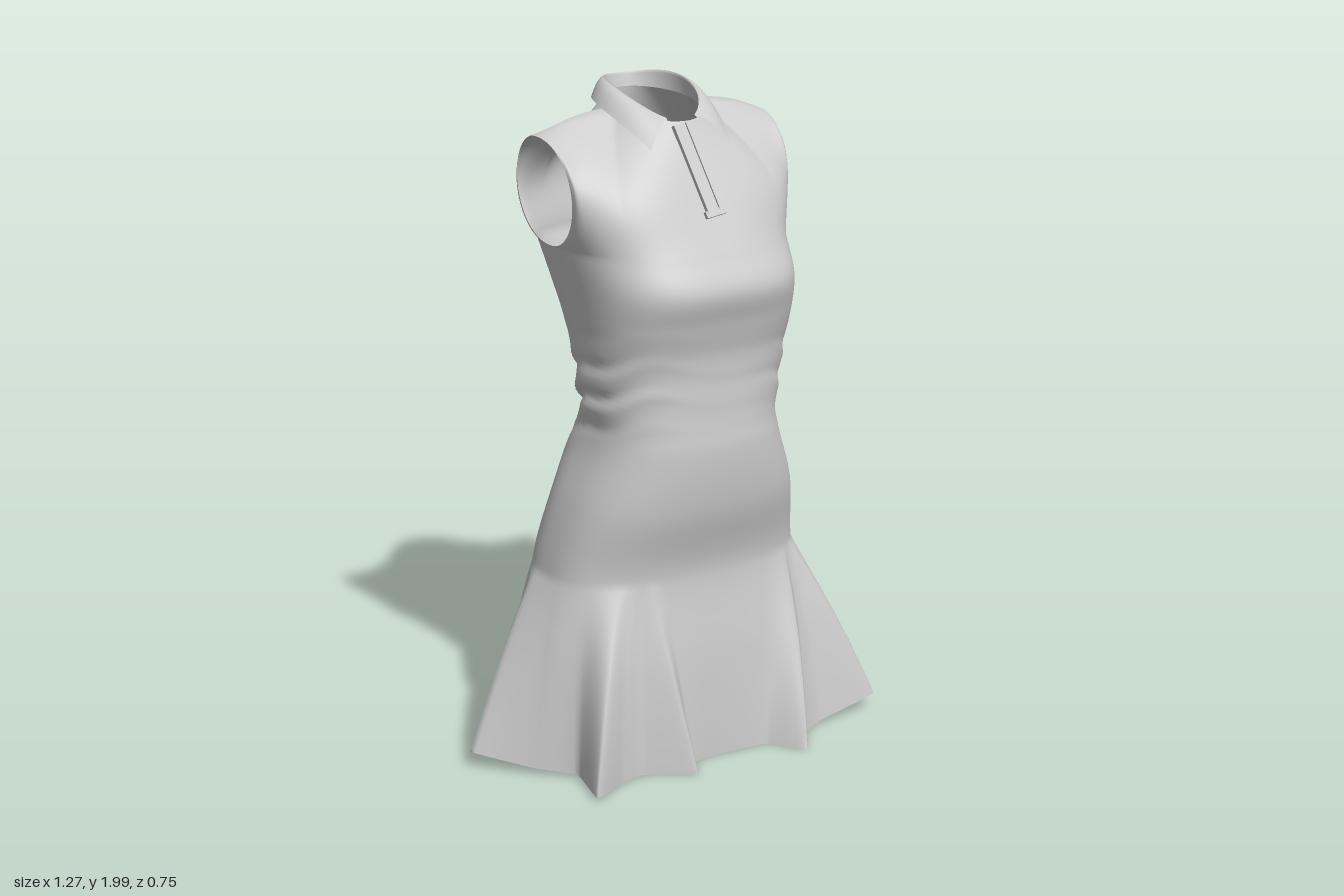
import * as THREE from 'three';
import { mergeGeometries, mergeVertices } from 'three/addons/utils/BufferGeometryUtils.js';

const COLS = 192, UNDERARM = 1.55, CX = 0.022;
const material = new THREE.MeshStandardMaterial({ color: 0xcccccc, side: THREE.DoubleSide });
const { lerp, smoothstep, degToRad } = THREE.MathUtils;
// Rounds a sine or cosine into a squarer section; the chest is squarer than the skirt
const round = (v, y) => Math.sign(v) * Math.pow(Math.abs(v), lerp(0.8, 0.66, smoothstep(y, 1.1, 1.4)));

// Body sections: y, right x, left x, front z, back z, z of the side seam
const sections = [
  [0.00, -0.44, 0.48, 0.245, -0.28, -0.02],
  [0.30, -0.425, 0.465, 0.225, -0.285, -0.03],
  [0.60, -0.39, 0.435, 0.21, -0.295, -0.03],
  [0.80, -0.345, 0.395, 0.26, -0.25, 0.00],
  [0.98, -0.285, 0.325, 0.275, -0.215, 0.03],
  [1.03, -0.275, 0.312, 0.27, -0.175, 0.04],
  [1.10, -0.278, 0.322, 0.265, -0.158, 0.04],
  [1.25, -0.285, 0.345, 0.265, -0.19, 0.02],
  [1.35, -0.295, 0.357, 0.287, -0.215, 0.00],
  [1.45, -0.308, 0.362, 0.31, -0.25, -0.05],
  [1.55, -0.323, 0.367, 0.265, -0.285, -0.10],
];
const profile = new THREE.CubicInterpolant(
  sections.map(s => s[0]), sections.flatMap(s => s.slice(1)), 5, new Float32Array(5));

// Cross-section with slanting creases gathered round the back of the waist
function ringPoint(y, th) {
  const [xl, xr, zf, zb, cz] = profile.evaluate(y);
  const sn = Math.sin(th), cs = Math.cos(th);
  const band = Math.exp(-Math.pow((y - 1.14 - 0.04 * cs) / 0.1, 2));
  const phase = 66 * (y - 0.07 * cs) + 1.2 * Math.sin(th * 2 + 0.5) + 0.9 * Math.cos(th * 5);
  const gather = 0.05 * (0.53 - 0.47 * cs) * band * (Math.sin(phase) + 0.3 * Math.sin(2 * phase + 3 * th));
  const k = 1 + gather;
  return new THREE.Vector3(
    (xl + xr) / 2 + round(sn, y) * (xr - xl) / 2 * k, y,
    cz + round(cs, y) * (cs > 0 ? zf - cz : cz - zb) * k);
}

// Hem outline from the centre front round by the left: x, z and the angle (degrees)
// each fold starts from; the folds of a pleat start close together
const hem = [
  [0.02, 0.25, 0], [0.19, 0.27, 25], [0.27, 0.37, 44], [0.33, 0.28, 47], [0.42, 0.24, 50],
  [0.63, 0.235, 55], [0.63, 0.10, 75], [0.53, -0.09, 98], [0.50, -0.14, 107], [0.60, -0.2, 118],
  [0.58, -0.3, 126], [0.45, -0.23, 132], [0.26, -0.28, 150], [0.22, -0.34, 156],
  [0.13, -0.33, 160], [0.11, -0.28, 164], [-0.1, -0.28, 190], [-0.18, -0.29, 205],
  [-0.22, -0.38, 212], [-0.27, -0.31, 216], [-0.29, -0.22, 220], [-0.38, -0.22, 226],
  [-0.47, -0.21, 236], [-0.48, -0.12, 248], [-0.635, -0.08, 262], [-0.50, 0.07, 282],
  [-0.41, 0.16, 302], [-0.45, 0.33, 322], [-0.33, 0.27, 329], [-0.24, 0.25, 333],
  [-0.1, 0.33, 337], [-0.07, 0.26, 344],
];
const hemCurve = new THREE.CatmullRomCurve3(
  hem.map(([x, z]) => new THREE.Vector3(x, 0.01 + 0.05 * Math.pow(x / 0.63, 4), z)),
  true, 'catmullrom', 0.2);
function foldAngle(s) {
  const i = Math.floor(s * hem.length);
  const next = i + 1 < hem.length ? hem[i + 1][2] : 360;
  return degToRad(lerp(hem[i][2], next, s * hem.length - i));
}

// Grid of points; columns run anticlockwise seen from above, rows run upwards
function grid(rows, cols, closed, point) {
  const pos = [], idx = [], w = closed ? cols : cols + 1;
  for (let i = 0; i <= rows; i++)
    for (let j = 0; j < w; j++) pos.push(...point(j / cols, i / rows).toArray());
  for (let i = 0; i < rows; i++)
    for (let j = 0; j < cols; j++) {
      const a = i * w + j, b = i * w + (j + 1) % w;
      idx.push(a, b, a + w, b, b + w, a + w);
    }
  const g = new THREE.BufferGeometry();
  g.setAttribute('position', new THREE.Float32BufferAttribute(pos, 3));
  g.setIndex(idx);
  return g;
}

// Skirt and bodice up to the underarm; the pleats open in straight lines to the hem
function bodyPoint(s, t) {
  const y = t * UNDERARM, top = 0.58;
  const th = lerp(foldAngle(s), s * 2 * Math.PI, smoothstep(y, 0.6, 1.35));
  const p = ringPoint(y, th);
  if (y < top) {
    const end = hemCurve.getPoint(s), w = (top - y) / top;
    p.set(lerp(p.x, end.x, w), y + end.y * w, lerp(p.z, end.z, w));
  }
  return p;
}

// Neckline: phi 0 = centre front
function neckPoint(phi) {
  const c = Math.cos(phi);
  return new THREE.Vector3(CX + 0.13 * Math.sin(phi), 1.93 + (c > 0 ? -0.03 : -0.02) * c, -0.09 + 0.165 * c);
}

// Upper front or back panel: underarm to neckline and shoulder seam, edged by the armholes
function panelPoint(front, s, v) {
  const th = (front ? -Math.PI / 2 : Math.PI / 2) + s * Math.PI;
  const side = (front ? s >= 0.5 : s < 0.5) ? 1 : -1;
  const u = Math.abs(2 * s - 1), d = front ? 1 : -1;
  const a = Math.min(1, u / 0.45) * Math.PI / 2;
  const top = neckPoint(side * (front ? a : Math.PI - a));
  if (u > 0.45) {
    const k = (u - 0.45) / 0.55;
    top.lerp(new THREE.Vector3(CX + side * 0.39, 1.87, -0.1), k);
    top.y += 0.015 * Math.sin(Math.PI * k);
  }
  // a plain rounded section guides the cloth; it turns in to the neck and shoulder near the top
  const mid = neckPoint(front ? 0 : Math.PI);
  const guide = new THREE.Vector3(
    CX + 0.39 * round(Math.sin(th), UNDERARM), lerp(mid.y, 1.87, u),
    -0.1 + (mid.z + 0.1) * round(Math.abs(Math.cos(th)), UNDERARM));
  const p = ringPoint(UNDERARM, th).lerp(guide, v).addScaledVector(top.sub(guide), v * v * v);
  const arc = Math.sin(Math.PI * v), across = Math.sin(Math.PI * u), hole = Math.pow(u, 4);
  p.z += d * arc * arc * (front ? 0.02 * across : 0.03 * (1 - u) + 0.02 * across);
  p.z += hole * d * arc * (front ? 0.155 : 0.14);
  p.y += hole * (0.16 - 0.16 * Math.cos(Math.PI * v) - 0.32 * v);
  return p;
}

// Collar: t 0 seam, 0.4 fold, 1 outer edge with pointed front corners
function collarPoint(s, t) {
  const phi = lerp(0.4, 2 * Math.PI - 0.4, s), c = Math.cos(phi), sn = Math.sin(phi);
  const seam = neckPoint(phi);
  const fold = new THREE.Vector3(CX + 0.122 * sn, 1.985 - 0.045 * c - 0.04 * c * c, -0.1 + 0.165 * c);
  const tip = Math.pow(Math.abs(2 * s - 1), 5);
  const edge = new THREE.Vector3(
    CX + 0.17 * sn + Math.sign(sn) * tip * 0.07,
    fold.y - 0.055 - 0.02 * tip, -0.095 + 0.185 * c + 0.03 * tip);
  if (t <= 0.4) return seam.lerp(fold, t / 0.4);
  const f = (t - 0.4) / 0.6;
  const p = fold.lerp(edge, f);
  p.y += 0.012 * Math.sin(Math.PI * f);
  return p;
}

export function createModel() {
  const model = new THREE.Group();
  model.name = 'dress';
  const add = (name, geometry, parent = model) => {
    const mesh = new THREE.Mesh(geometry, material);
    mesh.name = name;
    parent.add(mesh);
    return mesh;
  };

  // Dress shell, welded so that it shades as one cloth
  const shell = mergeVertices(mergeGeometries([
    grid(110, COLS, true, bodyPoint),
    grid(28, COLS / 2, false, (s, v) => panelPoint(true, s, v)),
    grid(28, COLS / 2, false, (s, v) => panelPoint(false, s, v)),
  ]), 1e-4);
  shell.computeVertexNormals();
  add('dressBody', shell);

  const collar = grid(15, 80, false, collarPoint);
  collar.computeVertexNormals();
  add('collar', collar);

  // Slanted front placket with raised edges and a stitched end
  const placket = new THREE.Group();
  placket.name = 'placket';
  placket.position.set(0.015, 1.775, 0.146);
  placket.rotation.set(-0.49, 0, 0.13);
  model.add(placket);
  add('placketBand', new THREE.BoxGeometry(0.05, 0.27, 0.012), placket);
  for (const x of [-0.021, 0.021])
    add('placketEdge', new THREE.BoxGeometry(0.012, 0.27, 0.012), placket).position.set(x, 0, 0.005);
  add('placketEnd', new THREE.BoxGeometry(0.07, 0.02, 0.014), placket).position.set(0, -0.135, 0.003);

  return model;
}
